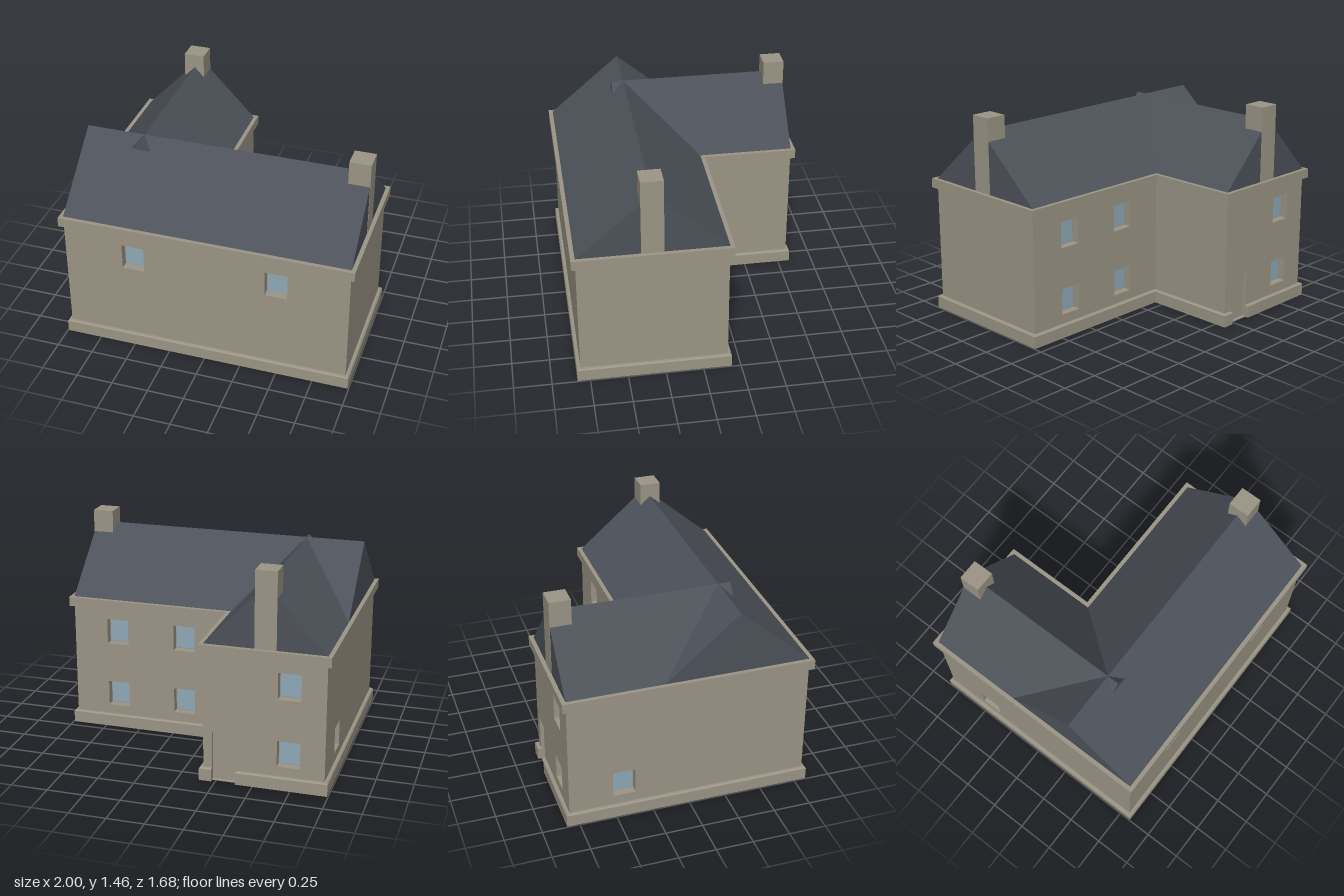
import * as THREE from 'three';

const paint = (color) => new THREE.MeshStandardMaterial({ color, flatShading: true });
const stone = paint(0x9b9585), slate = paint(0x4d525a), glass = paint(0x8fa9b8);

// Wall footprint: main block plus a wing at the back
const X0 = -0.97, X1 = 0.97, XW = -0.165;
const Z0 = -0.81, ZM = -0.165, Z1 = 0.81;
const EAVES = 0.945, RIDGE = 1.365, THICK = 0.06;
const DOOR = { left: -0.385, right: -0.225, top: 0.34, depth: 0.025 };

function mesh(name, geometry, material) {
  const m = new THREE.Mesh(geometry, material);
  m.name = name;
  return m;
}

function box(name, w, h, d, x, y, z, material = stone) {
  const m = mesh(name, new THREE.BoxGeometry(w, h, d), material);
  m.position.set(x, y, z);
  return m;
}

// L-shaped outline grown by d, optionally notched for the doorway
function outline(d, notch) {
  const p = [[X0 - d, Z1 + d], [X1 + d, Z1 + d], [X1 + d, ZM - d], [XW + d, ZM - d], [XW + d, Z0 - d]];
  if (notch) {
    const back = Z0 + DOOR.depth;
    p.push([DOOR.right, Z0 - d], [DOOR.right, back], [DOOR.left, back], [DOOR.left, Z0 - d]);
  }
  p.push([X0 - d, Z0 - d]);
  return new THREE.Shape(p.map(([x, z]) => new THREE.Vector2(x, -z)));
}

function slab(name, shape, y, height, bevel = 0) {
  const g = new THREE.ExtrudeGeometry(shape, {
    depth: height - bevel, bevelEnabled: bevel > 0,
    bevelThickness: bevel, bevelSize: bevel, bevelOffset: -bevel, bevelSegments: 1,
  });
  g.rotateX(-Math.PI / 2).translate(0, y, 0);
  // keep the underside flat on the ground
  const pos = g.attributes.position;
  for (let i = 0; i < pos.count; i++) pos.setY(i, Math.max(0, pos.getY(i)));
  g.computeVertexNormals();
  return mesh(name, g, stone);
}

// Wall panel running along local x, outside towards local +z.
// Each opening is { u, w, y, h, depth, isDoor } measured along the wall.
function wall(name, x, z, angle, length, openings = []) {
  const group = new THREE.Group();
  group.name = name;
  const rect = (C, a, b, w, h) => new C([[a, b], [a + w, b], [a + w, b + h], [a, b + h]]
    .map(([px, py]) => new THREE.Vector2(px, py)));
  const shape = rect(THREE.Shape, 0, 0, length, 0.9);
  for (const o of openings) {
    shape.holes.push(rect(THREE.Path, o.u, o.y, o.w, o.h));
    const cx = o.u + o.w / 2, cy = o.y + o.h / 2;
    group.add(box(o.isDoor ? 'door' : 'windowFrame', o.w + 0.02, o.h + 0.02, 0.04,
      cx, cy + (o.isDoor ? 0.006 : 0), -o.depth - 0.02));
    if (!o.isDoor) {
      group.add(box('windowPane', o.w - 0.014, o.h - 0.014, 0.01, cx, cy, -o.depth, glass));
    }
  }
  const g = new THREE.ExtrudeGeometry(shape, { depth: THICK, bevelEnabled: false });
  group.add(mesh(name + 'Panel', g.translate(0, 0, -THICK), stone));
  group.position.set(x, 0, z);
  group.rotation.y = angle;
  return group;
}

const UPPER = 0.62, LOWER = 0.155;
const pane = (u, y, w = 0.152) => ({ u, w, y, h: 0.18, depth: 0.055 });

// Gabled prism with its triangle in local xy
function gable(name, half, depth) {
  const s = new THREE.Shape([
    new THREE.Vector2(-half, 0), new THREE.Vector2(half, 0), new THREE.Vector2(0, RIDGE - EAVES),
  ]);
  return mesh(name, new THREE.ExtrudeGeometry(s, { depth, bevelEnabled: false }), slate);
}

export function createModel() {
  const house = new THREE.Group();
  house.name = 'house';

  // Walls with windows and door
  house.add(wall('frontWall', X0, Z1, 0, X1 - X0,
    [pane(-0.567 - X0, UPPER), pane(0.41 - X0, UPPER)]));
  house.add(wall('gableWall', X1, Z1, Math.PI / 2, Z1 - ZM));
  house.add(wall('mainBackWall', X1, ZM, Math.PI, X1 - XW,
    [0.73, 0.245].flatMap((x) => [pane(X1 - x, UPPER), pane(X1 - x, LOWER)])));
  house.add(wall('wingInnerWall', XW, ZM, Math.PI / 2, ZM - Z0));
  house.add(wall('wingBackWall', XW, Z0, Math.PI, XW - X0, [
    pane(XW + 0.655, UPPER), pane(XW + 0.655, LOWER),
    { u: XW - DOOR.right, w: DOOR.right - DOOR.left, y: 0.005, h: DOOR.top - 0.005, depth: DOOR.depth, isDoor: true },
  ]));
  house.add(wall('longSideWall', X0, Z0, -Math.PI / 2, Z1 - Z0, [pane(-0.515 - Z0, LOWER)]));

  // Plinth and eaves band
  house.add(slab('plinth', outline(0.024, true), 0, 0.09, 0.008));
  house.add(slab('eavesBand', outline(0.028, false), 0.88, EAVES - 0.88));

  // Roofs: the wing ridge pokes slightly through the front slope
  const mainRoof = gable('mainRoof', (Z1 - ZM) / 2, X1 - X0);
  mainRoof.rotation.y = Math.PI / 2;
  mainRoof.position.set(X0, EAVES, (Z1 + ZM) / 2);
  const wingRoof = gable('wingRoof', (XW - X0) / 2, 0.405 - Z0);
  wingRoof.position.set((X0 + XW) / 2, EAVES, Z0);
  house.add(mainRoof, wingRoof);

  // Chimneys on the gable ends
  const h = 1.46 - EAVES, cy = EAVES + h / 2;
  house.add(box('mainChimney', 0.143, h, 0.146, 0.901, cy, 0.325));
  house.add(box('wingChimney', 0.143, h, 0.143, -0.571, cy, -0.741));

  return house;
}
